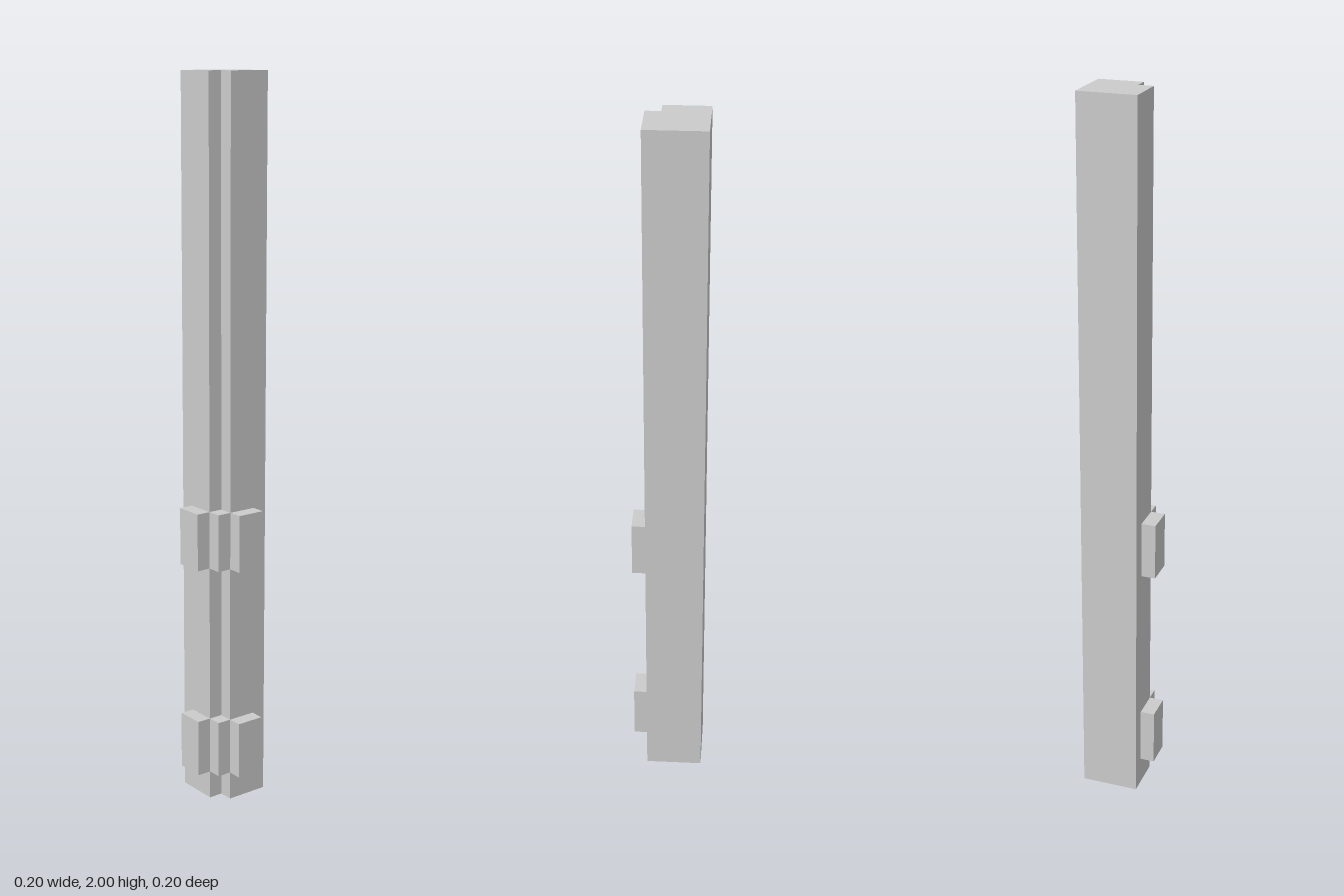
import * as THREE from 'three';

const material = new THREE.MeshStandardMaterial({ color: 0xcccccc, flatShading: true });

// Box between two x limits and two z limits, standing on the group's base
function block(name, x0, x1, z0, z1, height) {
  const mesh = new THREE.Mesh(new THREE.BoxGeometry(x1 - x0, height, z1 - z0), material);
  mesh.position.set((x0 + x1) / 2, height / 2, (z0 + z1) / 2);
  mesh.name = name;
  return mesh;
}

// Square post with a groove cut along one corner (outline in x, z)
function createPost() {
  const outline = [[-0.06, -0.1], [0.1, -0.1], [0.1, 0.06], [-0.02, 0.06], [-0.02, 0.02], [-0.06, 0.02]];
  const shape = new THREE.Shape(outline.map(([x, z]) => new THREE.Vector2(x, -z)));
  const geometry = new THREE.ExtrudeGeometry(shape, { depth: 2, bevelEnabled: false });
  geometry.rotateX(-Math.PI / 2);
  const post = new THREE.Mesh(geometry, material);
  post.name = 'post';
  return post;
}

// Stepped bracket: a tab on each grooved side and a filler in the groove
function createBracket(name, y) {
  const bracket = new THREE.Group();
  bracket.name = name;
  bracket.position.y = y;
  bracket.add(
    block('sideTab', -0.1, -0.06, -0.06, 0.02, 0.16),
    block('grooveFiller', -0.06, -0.02, 0.02, 0.06, 0.16),
    block('frontTab', -0.02, 0.06, 0.06, 0.1, 0.16)
  );
  return bracket;
}

export function createModel() {
  const model = new THREE.Group();
  model.name = 'groovedPost';
  model.add(createPost(), createBracket('lowerBracket', 0.08), createBracket('upperBracket', 0.68));
  return model;
}
